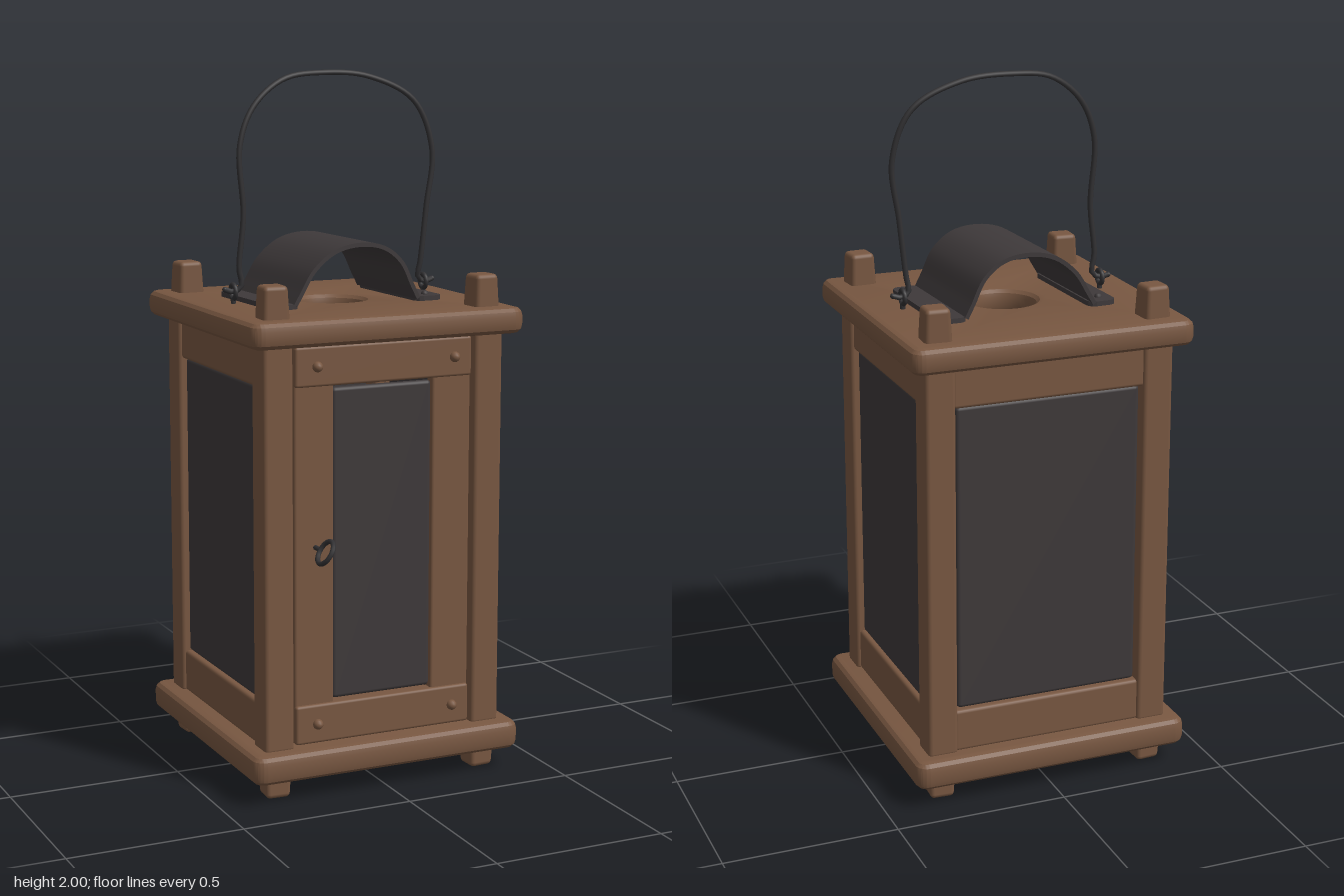
import * as THREE from 'three';
import { toCreasedNormals } from 'three/addons/utils/BufferGeometryUtils.js';
import { RoundedBoxGeometry } from 'three/addons/geometries/RoundedBoxGeometry.js';

const wood = new THREE.MeshStandardMaterial({ color: 0x785741 });
const iron = new THREE.MeshStandardMaterial({ color: 0x3e393a });
const wireIron = new THREE.MeshStandardMaterial({ color: 0x323133 });
wood.name = 'wood';
iron.name = 'iron and dark pane';
wireIron.name = 'wire iron';

const CZ = -0.025; // the body sits slightly back to make room for the door pull

function add(parent, name, geometry, material, x = 0, y = 0, z = 0) {
  const mesh = new THREE.Mesh(geometry, material);
  mesh.name = name;
  mesh.position.set(x, y, z);
  parent.add(mesh);
  return mesh;
}

// Soft-edged box given by its centre and size
function block(parent, name, material, [x, y, z], [w, h, d], r = 0.01) {
  return add(parent, name, new RoundedBoxGeometry(w, h, d, 2, r), material, x, y, z);
}

function roundedRect(w, d, r) {
  const s = new THREE.Shape();
  s.absarc(w / 2 - r, d / 2 - r, r, 0, Math.PI / 2);
  s.absarc(-w / 2 + r, d / 2 - r, r, Math.PI / 2, Math.PI);
  s.absarc(-w / 2 + r, -d / 2 + r, r, Math.PI, Math.PI * 1.5);
  s.absarc(w / 2 - r, -d / 2 + r, r, Math.PI * 1.5, Math.PI * 2);
  return s;
}

// Horizontal board with rounded rim, optionally with a round smoke hole
function board(parent, name, y0, y1, holeRadius) {
  const b = 0.025;
  const shape = roundedRect(0.83 - 2 * b, 0.825 - 2 * b, 0.012);
  if (holeRadius) {
    const hole = new THREE.Path();
    hole.absarc(0, 0, holeRadius, 0, Math.PI * 2, true);
    shape.holes.push(hole);
  }
  const geo = new THREE.ExtrudeGeometry(shape, {
    depth: y1 - y0 - 2 * b, bevelSize: b, bevelThickness: b, bevelSegments: 3, curveSegments: 24,
  });
  geo.rotateX(-Math.PI / 2);
  add(parent, name, toCreasedNormals(geo, 0.4), wood, 0, y0 + b, CZ);
}

// Wire bent through points
function wire(parent, name, points, radius) {
  const curve = new THREE.CatmullRomCurve3(points.map(p => new THREE.Vector3(...p)));
  add(parent, name, new THREE.TubeGeometry(curve, 90, radius, 8), wireIron);
  for (const p of [points[0], points[points.length - 1]]) {
    add(parent, name + 'End', new THREE.SphereGeometry(radius, 8, 6), wireIron, ...p);
  }
}

// Tapered peg with a small softened top
function peg(parent, name, x, y, z, h, down) {
  const geo = new RoundedBoxGeometry(0.08, h, 0.08, 2, 0.013);
  const pos = geo.attributes.position;
  for (let i = 0; i < pos.count; i++) {
    const t = pos.getY(i) / h + 0.5;
    const s = 1 - 0.14 * (down ? 1 - t : t);
    pos.setX(i, pos.getX(i) * s);
    pos.setZ(i, pos.getZ(i) * s);
  }
  add(parent, name, geo, wood, x, y, z).rotation.y = 0.06 * Math.sign(x * z);
}

// Plain wall: two rails and a pane, built facing +z
function wall(name, rotation) {
  const g = new THREE.Group();
  g.name = name;
  block(g, 'topRail', wood, [0, 1.22, 0.335], [0.57, 0.125, 0.04]);
  block(g, 'bottomRail', wood, [0, 0.202, 0.335], [0.57, 0.125, 0.04]);
  block(g, 'pane', iron, [0, 0.713, 0.333], [0.545, 0.892, 0.024], 0.011);
  g.position.z = CZ;
  g.rotation.y = rotation;
  return g;
}

// Door: stiles, riveted rails, narrow pane and ring pull
function door() {
  const g = new THREE.Group();
  g.name = 'door';
  block(g, 'rightStile', wood, [-0.215, 0.71, 0.315], [0.12, 1.1, 0.036], 0.008);
  block(g, 'leftStile', wood, [0.207, 0.71, 0.315], [0.12, 1.1, 0.036], 0.008);
  block(g, 'pane', iron, [-0.003, 0.71, 0.311], [0.305, 0.885, 0.024], 0.011);
  for (const y of [0.207, 1.217]) {
    block(g, 'rail', wood, [-0.005, y, 0.32], [0.54, 0.112, 0.046], 0.008);
    for (const x of [-0.21, 0.21]) {
      const rivet = add(g, 'rivet', new THREE.SphereGeometry(0.015, 12, 8), wood, x, y, 0.345);
      rivet.scale.z = 1.1;
    }
  }
  const ring = new THREE.TorusGeometry(0.034, 0.007, 8, 28);
  ring.rotateY(Math.PI / 2);
  ring.rotateZ(-0.55);
  add(g, 'ringPull', ring, wireIron, -0.212, 0.712, 0.4);
  const stem = new THREE.CylinderGeometry(0.007, 0.007, 0.045, 8);
  stem.rotateX(Math.PI / 2);
  add(g, 'pullStem', stem, wireIron, -0.212, 0.712, 0.347);
  return g;
}

// Arched sheet over the smoke hole, with riveted flanges
function hood() {
  const g = new THREE.Group();
  g.name = 'hood';
  const t = 0.012, depth = 0.37;
  const outer = [[-0.205, 1.362], [-0.185, 1.395], [-0.145, 1.458], [-0.08, 1.508], [0, 1.526],
    [0.08, 1.514], [0.14, 1.468], [0.175, 1.4], [0.195, 1.362]];
  const curve = new THREE.SplineCurve(outer.map(p => new THREE.Vector2(...p)));
  const top = curve.getPoints(40);
  const under = top.map((p, i) => {
    const tan = curve.getTangent(i / 40);
    return new THREE.Vector2(p.x + tan.y * t, p.y - tan.x * t);
  });
  const arch = new THREE.ExtrudeGeometry(new THREE.Shape([...top, ...under.reverse()]),
    { depth, bevelEnabled: false });
  arch.translate(0, 0, -depth / 2);
  add(g, 'arch', toCreasedNormals(arch, 0.6), iron);
  for (const s of [-1, 1]) {
    const flange = new THREE.ExtrudeGeometry(roundedRect(0.085, depth, 0.025),
      { depth: 0.016, bevelEnabled: false });
    flange.rotateX(-Math.PI / 2);
    add(g, 'flange', toCreasedNormals(flange, 0.6), iron, s * 0.227, 1.348, 0);
    for (const z of [-0.14, 0.145]) {
      add(g, 'hoodRivet', new THREE.SphereGeometry(0.011, 10, 8), iron, s * 0.232, 1.364, z);
    }
  }
  g.position.z = -0.03;
  g.rotation.y = 0.035;
  return g;
}

export function createModel() {
  const model = new THREE.Group();
  model.name = 'lantern';

  board(model, 'baseBoard', 0.06, 0.143, 0);
  board(model, 'topBoard', 1.275, 1.35, 0.12);

  // Corner posts with pegs above and feet below
  for (const x of [-1, 1]) {
    for (const z of [-1, 1]) {
      block(model, 'cornerPost', wood, [x * 0.322, 0.71, CZ + z * 0.32], [0.088, 1.15, 0.088], 0.012);
      peg(model, 'topPeg', x * 0.32, 1.385, CZ + z * 0.318, 0.11, false);
      peg(model, 'foot', x * 0.32, 0.05, CZ + z * 0.318, 0.1, true);
    }
  }

  model.add(wall('leftWall', Math.PI / 2), wall('rightWall', -Math.PI / 2), wall('backWall', Math.PI));
  model.add(door(), hood());

  // Carrying wire hooked into two eyelets
  wire(model, 'carryHandle', [
    [-0.325, 1.39, -0.035], [-0.3, 1.383, -0.03], [-0.278, 1.4, -0.025], [-0.285, 1.45, -0.025],
    [-0.272, 1.6, -0.022], [-0.279, 1.79, -0.028], [-0.235, 1.9, -0.034], [-0.14, 1.975, -0.043],
    [-0.02, 1.992, -0.05], [0.13, 1.98, -0.046], [0.27, 1.91, -0.036], [0.325, 1.77, -0.026],
    [0.305, 1.6, -0.022], [0.288, 1.44, -0.025], [0.283, 1.4, -0.03], [0.3, 1.383, -0.03],
    [0.33, 1.39, -0.03],
  ], 0.008);
  for (const x of [-0.302, 0.3]) {
    const eye = new THREE.TorusGeometry(0.02, 0.007, 8, 20);
    eye.rotateY(Math.PI / 2);
    add(model, 'eyelet', eye, wireIron, x, 1.384, -0.028);
    add(model, 'eyeletPin', new THREE.CylinderGeometry(0.008, 0.008, 0.03, 8), wireIron, x, 1.352, -0.028);
  }
  return model;
}
